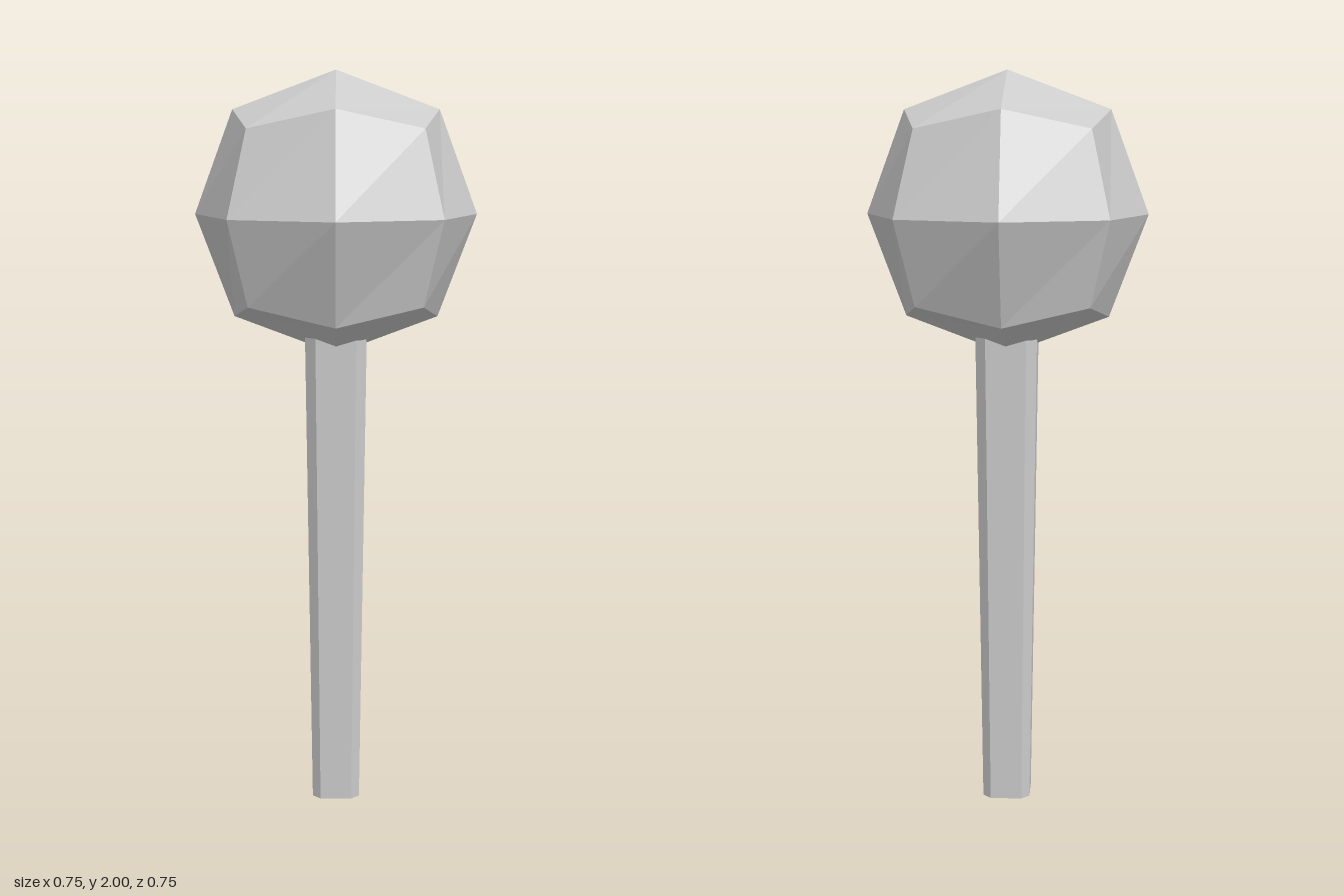
import * as THREE from 'three';

const grey = new THREE.MeshStandardMaterial({ color: 0xcccccc, flatShading: true });

// Move every vertex of a geometry by a rule, then facet it
function reshape(geometry, rule) {
  const pos = geometry.attributes.position;
  const v = new THREE.Vector3();
  for (let i = 0; i < pos.count; i++) {
    v.fromBufferAttribute(pos, i);
    rule(v);
    pos.setXYZ(i, v.x, v.y, v.z);
  }
  const flat = geometry.index ? geometry.toNonIndexed() : geometry;
  flat.computeVertexNormals();
  return flat;
}

// Ball: a 2x2x2 box rounded out, by vertex kind (face centre, edge middle, corner)
function makeHead() {
  const reach = [0, 0.375, 0.273, 0.225];
  const geometry = reshape(new THREE.BoxGeometry(2, 2, 2, 2, 2, 2), (v) => {
    const kind = Math.round(Math.abs(v.x) + Math.abs(v.y) + Math.abs(v.z));
    v.multiplyScalar(reach[kind]);
  });
  const head = new THREE.Mesh(geometry, grey);
  head.name = 'head';
  head.position.y = 1.625;
  return head;
}

// Handle: a square with cut corners, widening upwards into the ball
function makeHandle() {
  const a = 0.065, b = 0.043, height = 1.36;
  const section = new THREE.Shape([
    [a, -b], [a, b], [b, a], [-b, a], [-a, b], [-a, -b], [-b, -a], [b, -a],
  ].map(([x, y]) => new THREE.Vector2(x, y)));
  const bar = new THREE.ExtrudeGeometry(section, { depth: height, bevelEnabled: false });
  bar.rotateX(-Math.PI / 2);
  const geometry = reshape(bar, (v) => {
    const widen = 1 + 0.205 * v.y;
    v.x *= widen;
    v.z *= widen;
  });
  const handle = new THREE.Mesh(geometry, grey);
  handle.name = 'handle';
  return handle;
}

export function createModel() {
  const model = new THREE.Group();
  model.name = 'ballHeadedClub';
  model.add(makeHandle(), makeHead());
  return model;
}
